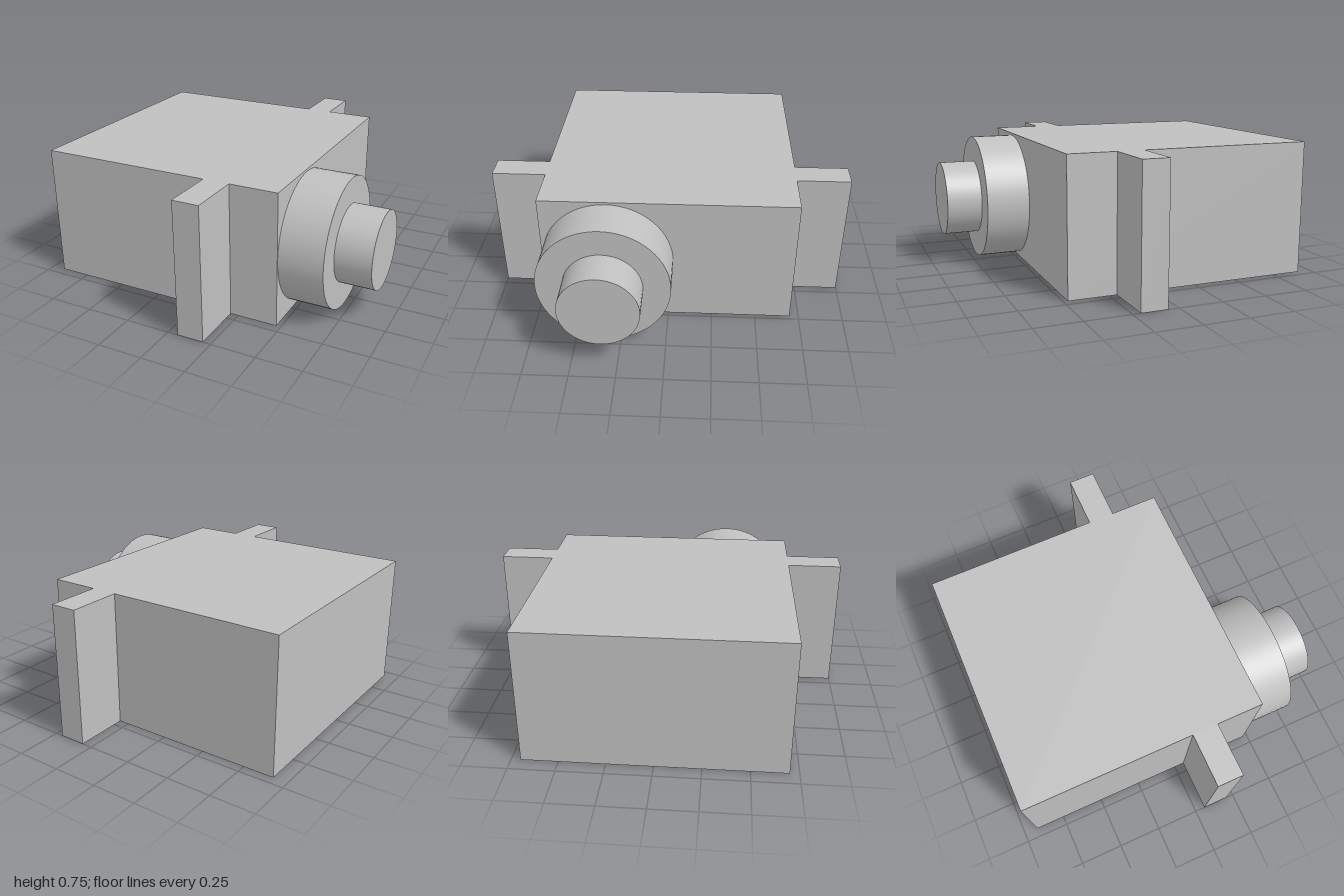
import * as THREE from 'three';

export function createModel() {
  const group = new THREE.Group();
  const grey = new THREE.MeshStandardMaterial({ color: 0xc0c0c0 });
  grey.name = 'light grey';

  const add = (name, geometry, x, y, z) => {
    const mesh = new THREE.Mesh(geometry, grey);
    mesh.name = name;
    mesh.position.set(x, y, z);
    group.add(mesh);
    return mesh;
  };

  // Main case
  const height = 0.75, back = -0.92, face = 0.475, half = 0.7;
  add('case', new THREE.BoxGeometry(face - back, height, half * 2), (face + back) / 2, height / 2, 0);

  // Full-height mounting tabs on both sides
  for (const side of [1, -1]) {
    add(side > 0 ? 'frontMountingTab' : 'rearMountingTab',
      new THREE.BoxGeometry(0.148, height, 1 - half), 0.132, height / 2, side * (1 + half) / 2);
  }

  // Stepped round output on the +x face, offset toward the front
  const round = (name, radius, x0, x1) => {
    const geometry = new THREE.CylinderGeometry(radius, radius, x1 - x0, 64);
    geometry.rotateZ(-Math.PI / 2);
    add(name, geometry, (x0 + x1) / 2, height / 2, 0.333);
  };
  round('outputCollar', 0.362, face, 0.72);
  round('outputShaft', 0.215, 0.72, 0.92);

  return group;
}
